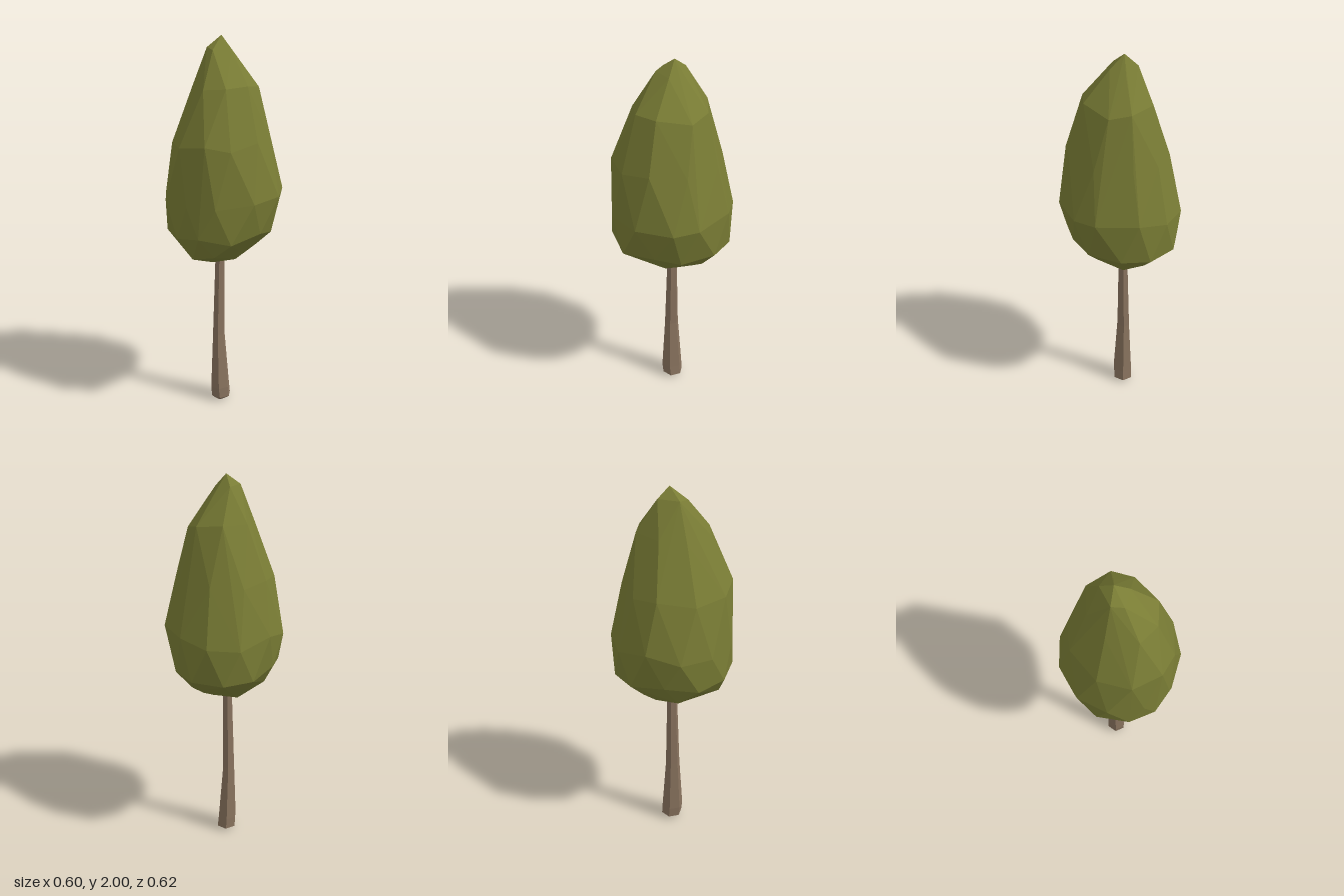
import * as THREE from 'three';
import { ConvexGeometry } from 'three/addons/geometries/ConvexGeometry.js';

// Point on a ring [y, xMin, xMax, zMin, zMax] at a given angle
function ringPoint([y, x0, x1, z0, z1], angle, scale = 1) {
  return new THREE.Vector3(
    (x0 + x1) / 2 + Math.sin(angle) * (x1 - x0) / 2 * scale,
    y,
    (z0 + z1) / 2 + Math.cos(angle) * (z1 - z0) / 2 * scale
  );
}

// Small seeded generator, -1 to 1
function seeded(seed) {
  return () => {
    seed = (seed * 16807) % 2147483647;
    return (seed / 2147483647) * 2 - 1;
  };
}

// Faceted crown: hull of staggered, slightly uneven rings
function makeCrown() {
  const rings = [
    [1.93, -0.08, 0.05, -0.08, 0.075],
    [1.77, -0.145, 0.17, -0.18, 0.19],
    [1.5, -0.245, 0.235, -0.24, 0.295],
    [1.22, -0.295, 0.295, -0.305, 0.31],
    [1.03, -0.275, 0.25, -0.3, 0.305],
    [0.94, -0.21, 0.17, -0.23, 0.25],
    [0.875, -0.11, 0.1, -0.15, 0.1]
  ];
  const counts = [5, 8, 10, 11, 11, 10, 6];
  const random = seeded(71);
  const points = [new THREE.Vector3(-0.015, 2, -0.012), new THREE.Vector3(-0.02, 0.85, 0)];
  rings.forEach((ring, i) => {
    for (let k = 0; k < counts[i]; k++) {
      const angle = (k + (i % 2) / 2 + random() * 0.15) / counts[i] * Math.PI * 2;
      const p = ringPoint(ring, angle, 1.015 + random() * 0.02);
      p.y += random() * 0.025;
      points.push(p);
    }
  });
  return new ConvexGeometry(points);
}

// Six-sided trunk: lofted rings that flare towards the foot
function makeTrunk() {
  const rings = [
    [0.95, -0.042, 0.004, -0.024, 0.022],
    [0.4, -0.058, 0.005, -0.034, 0.04],
    [0.08, -0.07, 0.031, -0.055, 0.058],
    [0.02, -0.068, 0.036, -0.058, 0.052],
    [0.005, -0.045, 0.015, -0.04, 0.04]
  ];
  const sides = 6;
  const vertices = [];
  const index = [];
  rings.forEach((ring, i) => {
    for (let k = 0; k < sides; k++) {
      vertices.push(...ringPoint(ring, (k + 0.25) / sides * Math.PI * 2, 1.04).toArray());
      if (i === 0) continue;
      const a = (i - 1) * sides + k;
      const b = (i - 1) * sides + (k + 1) % sides;
      index.push(a, a + sides, b, b, a + sides, b + sides);
    }
  });
  // Pointed underside
  const last = (rings.length - 1) * sides;
  vertices.push(-0.015, 0, 0);
  for (let k = 0; k < sides; k++) index.push(last + k, last + sides, last + (k + 1) % sides);
  const geometry = new THREE.BufferGeometry();
  geometry.setAttribute('position', new THREE.Float32BufferAttribute(vertices, 3));
  geometry.setIndex(index);
  geometry.computeVertexNormals();
  return geometry;
}

export function createModel() {
  const group = new THREE.Group();
  group.name = 'tree';
  const add = (name, geometry, color) => {
    const material = new THREE.MeshStandardMaterial({ color, flatShading: true });
    const mesh = new THREE.Mesh(geometry, material);
    mesh.name = name;
    group.add(mesh);
  };
  add('crown', makeCrown(), 0x7a7d35);
  add('trunk', makeTrunk(), 0x8a745f);
  return group;
}
